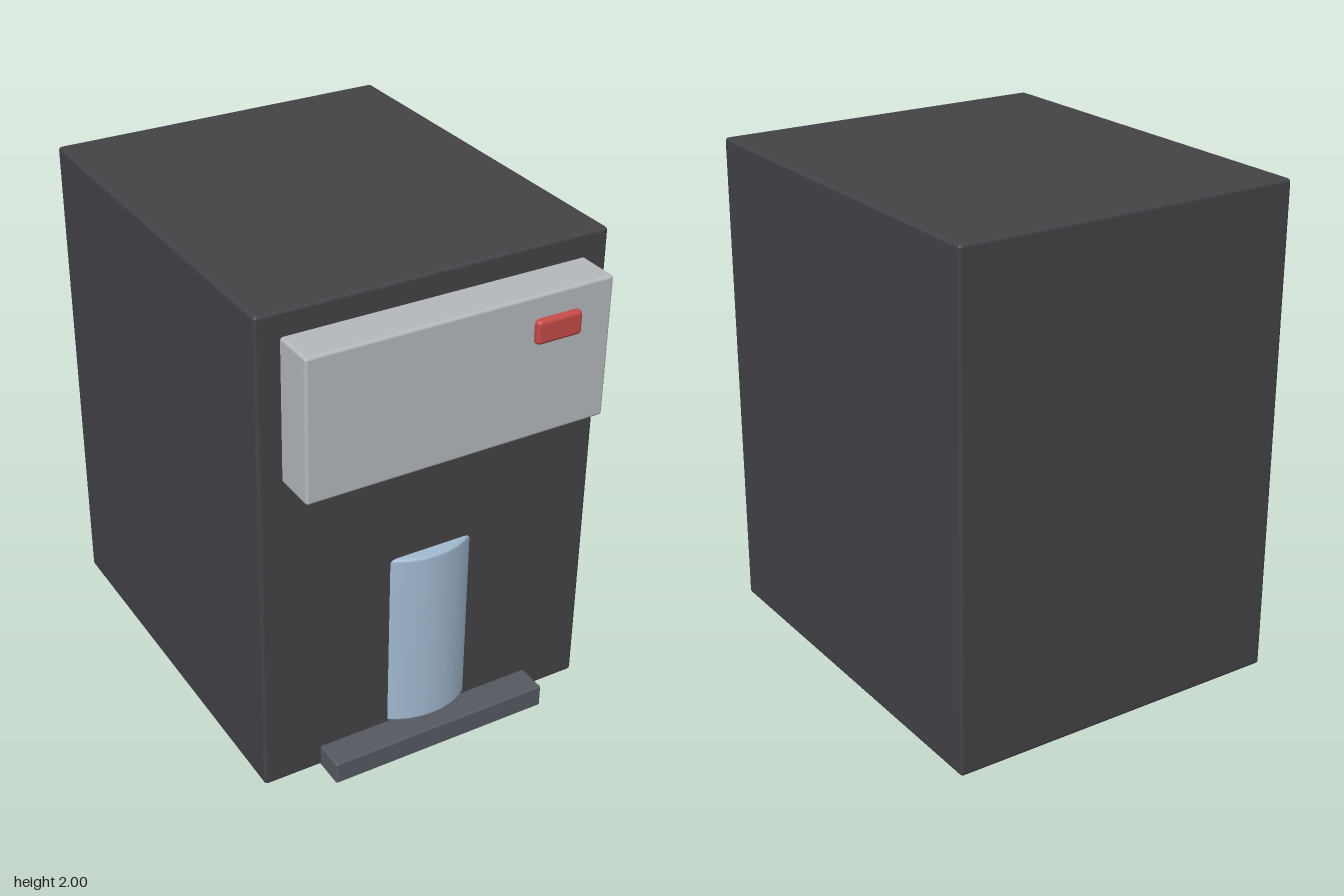
import * as THREE from 'three';
import { RoundedBoxGeometry } from 'three/addons/geometries/RoundedBoxGeometry.js';

const material = (name, color) => {
  const m = new THREE.MeshStandardMaterial({ color });
  m.name = name;
  return m;
};

export function createModel() {
  const model = new THREE.Group();
  model.name = 'drinkMachine';

  const charcoal = material('charcoal', 0x434246);
  const silver = material('silver', 0xb5b9bc);
  const slate = material('slate', 0x565a61);
  const paleBlue = material('paleBlue', 0xa2b9d0);
  const red = material('red', 0xc44a46);

  const add = (name, geometry, mat) => {
    const mesh = new THREE.Mesh(geometry, mat);
    mesh.name = name;
    model.add(mesh);
    return mesh;
  };

  // Box with softened edges, given by its lower and upper corners
  const block = (name, [x0, y0, z0], [x1, y1, z1], radius, mat) => {
    const geometry = new RoundedBoxGeometry(x1 - x0, y1 - y0, z1 - z0, 3, radius);
    add(name, geometry, mat).position.set((x0 + x1) / 2, (y0 + y1) / 2, (z0 + z1) / 2);
  };

  block('body', [-0.71, 0.003, -0.93], [0.71, 2, 0.735], 0.014, charcoal);
  block('controlPanel', [-0.615, 1.34, 0.6], [0.615, 1.905, 0.905], 0.012, silver);
  block('button', [0.285, 1.72, 0.86], [0.475, 1.815, 0.93], 0.016, red);
  // The tray runs under the body and sits just below its base
  block('dripTray', [-0.47, 0, -0.07], [0.47, 0.095, 0.857], 0.008, slate);

  // Cup, a bevelled cylinder partly sunk into the body
  const r = 0.315, bevel = 0.013, bottom = 0.095, top = 0.86;
  const profile = [
    [0, bottom], [r - bevel, bottom], [r - 0.004, bottom + 0.004], [r, bottom + bevel],
    [r, top - bevel], [r - 0.004, top - 0.004], [r - bevel, top], [0, top],
  ].map(([x, y]) => new THREE.Vector2(x, y));
  add('cup', new THREE.LatheGeometry(profile, 40), paleBlue).position.z = 0.473;

  return model;
}
